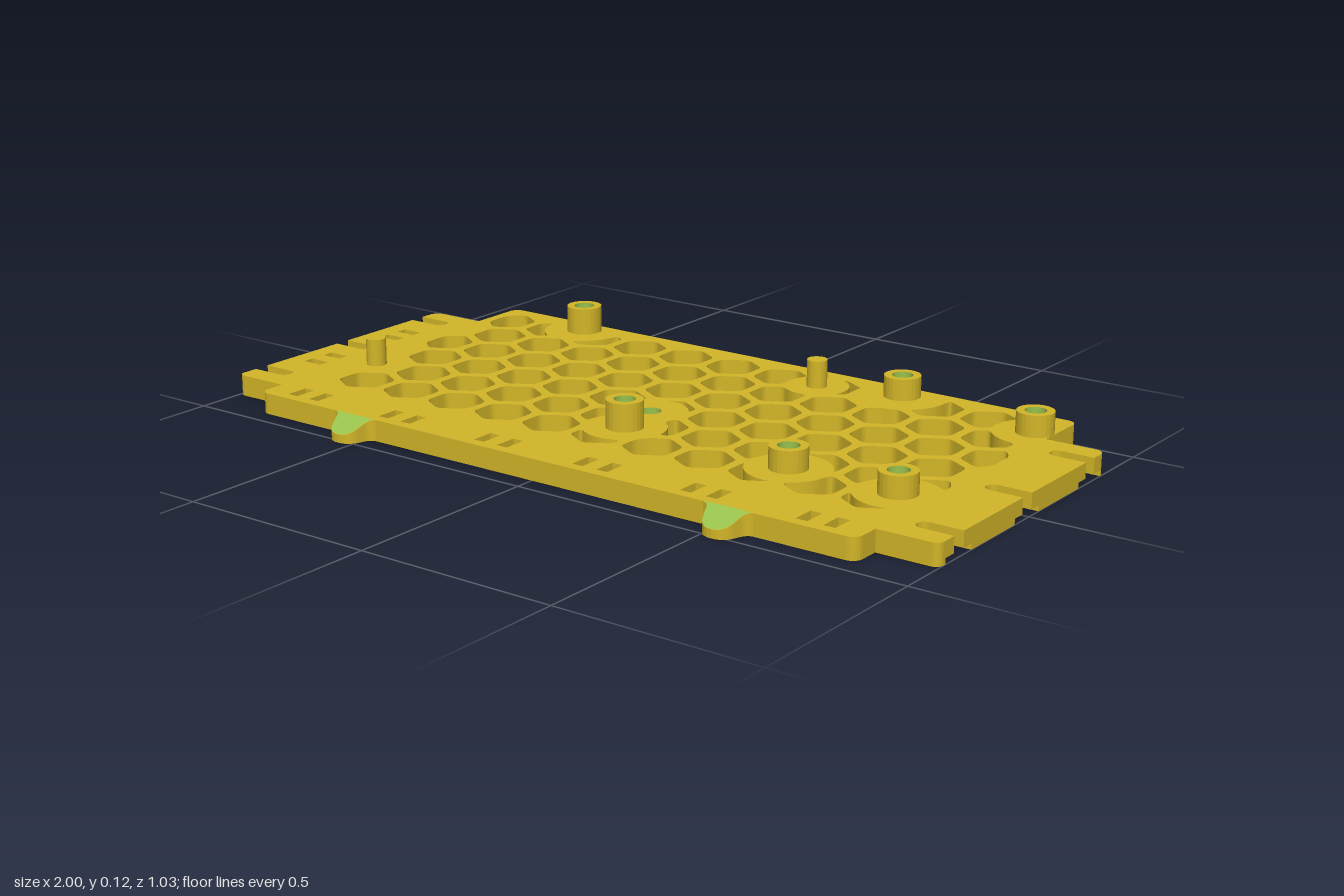
import * as THREE from 'three';

const gold = new THREE.MeshStandardMaterial({ name: 'gold', color: 0xd3b628 });
const green = new THREE.MeshStandardMaterial({ name: 'green', color: 0x98c24d, side: THREE.DoubleSide });

const T = 0.052; // plate thickness
const RECESS = 0.014; // depth of the pockets under the edge slots
const BORE = 0.026;

// Hollow posts: x, z, top height, radius left uncut by the honeycomb
const hollowPosts = [
  [-0.567, -0.456, 0.12, 0.105], [0.026, 0.144, 0.12, 0.1], [0.413, -0.449, 0.105, 0.115],
  [0.805, -0.386, 0.105, 0.1], [0.493, 0.164, 0.105, 0.1], [0.773, 0.164, 0.105, 0.1],
];
const solidPosts = [[0.203, -0.396], [-0.791, 0.104]];
const centreHole = [0, 0.01];

// Solid discs: x, z, radius
const keepouts = [
  ...hollowPosts.map(([x, z, , r]) => [x, z, r]),
  ...solidPosts.map(([x, z]) => [x, z, 0.08]),
  [...centreHole, 0.09],
];

// Plan shapes use (x, -z), so extrusions stand up along y
const V = (x, z) => new THREE.Vector2(x, -z);

function extrude(shape, y0, y1) {
  const g = new THREE.ExtrudeGeometry(shape, { depth: y1 - y0, bevelEnabled: false, curveSegments: 12 });
  g.rotateX(-Math.PI / 2);
  g.translate(0, y0, 0);
  return g;
}

function add(parent, name, geometry, material) {
  const m = new THREE.Mesh(geometry, material);
  m.name = name;
  parent.add(m);
  return m;
}

// Closed outline from [x, z, cornerRadius]
function roundedOutline(pts) {
  const out = [];
  pts.forEach(([x, z, r], i) => {
    const c = V(x, z);
    if (!r) { out.push(c); return; }
    const p = pts[(i + pts.length - 1) % pts.length], n = pts[(i + 1) % pts.length];
    const u = V(p[0], p[1]).sub(c).normalize(), v = V(n[0], n[1]).sub(c).normalize();
    for (let k = 0; k <= 5; k++) {
      const a = (k / 5) * Math.PI / 2;
      out.push(c.clone().addScaledVector(u, r * (1 - Math.sin(a))).addScaledVector(v, r * (1 - Math.cos(a))));
    }
  });
  return out;
}

// Counter-clockwise plate outline with three open slots in each end
function plateOutline(halfSlot, slotEnd, slotRadius) {
  const right = [[0.85, -0.513, 0.025], [0.85, -0.356, 0], [1, -0.356, 0.025]];
  for (const z of [-0.28, 0.01, 0.3]) {
    right.push([1, z - halfSlot, 0], [slotEnd, z - halfSlot, slotRadius],
      [slotEnd, z + halfSlot, slotRadius], [1, z + halfSlot, 0]);
  }
  right.push([1, 0.379, 0.018], [0.85, 0.379, 0], [0.85, 0.452, 0.025]);
  const left = right.map(([x, z, r]) => [-x, z, r]).reverse();
  return roundedOutline([...right, ...left]).reverse();
}

function densify(poly) {
  const out = [];
  poly.forEach((p, i) => {
    const q = poly[(i + 1) % poly.length];
    const n = Math.max(1, Math.ceil(p.distanceTo(q) / 0.006));
    for (let k = 0; k < n; k++) out.push(p.clone().lerp(q, k / n));
  });
  return out;
}

// Rounds the corners of an opening by averaging neighbours
function soften(poly) {
  let pts = densify(poly);
  for (let pass = 0; pass < 5; pass++) {
    pts = pts.map((p, i) => {
      const mid = pts[(i + 1) % pts.length].clone().add(pts[(i + pts.length - 1) % pts.length]);
      return mid.multiplyScalar(0.25).addScaledVector(p, 0.5);
    });
  }
  return pts;
}

// Cuts a disc out of a polygon and returns the remaining pieces
function subtractDisc(poly, [cx, cz, r]) {
  const c = V(cx, cz), pts = densify(poly);
  const outside = pts.map((p) => p.distanceTo(c) > r);
  if (outside.every(Boolean)) return [poly];
  const start = outside.indexOf(false), pieces = [];
  let run = [];
  for (let k = 1; k <= pts.length; k++) {
    const i = (start + k) % pts.length;
    if (outside[i]) { run.push(pts[i]); continue; }
    if (run.length > 2) {
      const angle = (p) => Math.atan2(p.y - c.y, p.x - c.x);
      const a = angle(run[run.length - 1]);
      let d = angle(run[0]) - a;
      d = Math.atan2(Math.sin(d), Math.cos(d));
      for (let s = 1; s < 8; s++) {
        const t = a + (d * s) / 8;
        run.push(new THREE.Vector2(c.x + r * Math.cos(t), c.y + r * Math.sin(t)));
      }
      pieces.push(run);
    }
    run = [];
  }
  return pieces.filter((p) => Math.abs(THREE.ShapeUtils.area(p)) > 0.0006);
}

function honeycombHoles() {
  const holes = [], pitch = 0.146, radius = 0.071;
  for (let row = 0; row < 6; row++) {
    const z = -0.408 + row * pitch * Math.sqrt(3) / 2;
    const count = row % 2 ? 11 : 12;
    for (let k = 0; k < count; k++) {
      const x = -0.785 + k * pitch + (row % 2 ? pitch / 2 : 0);
      const hex = [];
      for (let i = 0; i < 6; i++) {
        const a = (i + 0.5) * Math.PI / 3;
        const px = THREE.MathUtils.clamp(x + radius * Math.cos(a), -0.824, 0.845);
        hex.push(V(px, z + radius * Math.sin(a)));
      }
      let pieces = [hex];
      for (const disc of keepouts) pieces = pieces.flatMap((p) => subtractDisc(p, disc));
      holes.push(...pieces.map(soften));
    }
  }
  return holes;
}

function rectHole(x, z, w, d) {
  return [V(x - w / 2, z - d / 2), V(x + w / 2, z - d / 2), V(x + w / 2, z + d / 2), V(x - w / 2, z + d / 2)];
}

function circlePath(x, z, r, Type = THREE.Path) {
  const p = new Type();
  p.absarc(x, -z, r, 0, Math.PI * 2, false);
  return p;
}

export function createModel() {
  const model = new THREE.Group();
  model.name = 'mountingPlate';

  // Openings shared by both layers of the plate
  const cutouts = honeycombHoles();
  for (const x of [0.143, 0.437, 0.733]) {
    for (const side of [-1, 1]) {
      for (const o of [-0.034, 0.034]) cutouts.push(rectHole(side * x + o, 0.396, 0.029, 0.058));
    }
  }
  for (const z of [-0.163, -0.099, 0.114, 0.183]) cutouts.push(rectHole(-0.925, z, 0.054, 0.028));
  const bores = [...hollowPosts, [...centreHole, T]];

  // Plate: lower layer has wider, squarer pockets around the edge slots
  const layers = [['plateBottom', 0.053, 0.87, 0.012, 0, RECESS], ['plateTop', 0.02, 0.9, 0.019, RECESS, T]];
  for (const [name, halfSlot, slotEnd, slotRadius, y0, y1] of layers) {
    const shape = new THREE.Shape(plateOutline(halfSlot, slotEnd, slotRadius));
    cutouts.forEach((c) => shape.holes.push(new THREE.Path(c)));
    bores.forEach(([x, z]) => shape.holes.push(circlePath(x, z, BORE)));
    add(model, name, extrude(shape, y0, y1), gold);
  }

  // Hollow posts
  for (const [x, z, h] of hollowPosts) {
    const ring = circlePath(x, z, 0.045, THREE.Shape);
    ring.holes.push(circlePath(x, z, BORE));
    add(model, 'hollowPost', extrude(ring, T, h), gold);
  }

  // Coloured bore linings
  for (const [x, z, h] of bores) {
    const lining = new THREE.CylinderGeometry(BORE - 0.001, BORE - 0.001, h, 24, 1, true);
    add(model, 'boreLining', lining, green).position.set(x, h / 2, z);
  }

  // Solid locating pins
  for (const [x, z] of solidPosts) {
    const pin = new THREE.CylinderGeometry(0.025, 0.025, 0.12 - T, 24);
    add(model, 'locatingPin', pin, gold).position.set(x, (0.12 + T) / 2, z);
  }

  // Front tabs with a sloping coloured top
  for (const x of [-0.535, 0.533]) {
    const s = new THREE.Shape();
    s.moveTo(x - 0.064, -0.452);
    s.bezierCurveTo(x - 0.03, -0.455, x - 0.055, -0.513, x, -0.513);
    s.bezierCurveTo(x + 0.055, -0.513, x + 0.03, -0.455, x + 0.064, -0.452);
    const slope = (z) => T - (z - 0.452) * 0.52;
    const body = extrude(s, 0, T);
    const p = body.attributes.position;
    for (let i = 0; i < p.count; i++) if (p.getY(i) > T / 2) p.setY(i, slope(p.getZ(i)));
    body.computeVertexNormals();
    add(model, 'frontTab', body, gold);

    const face = new THREE.ShapeGeometry(s, 12);
    face.rotateX(-Math.PI / 2);
    const q = face.attributes.position;
    for (let i = 0; i < q.count; i++) q.setY(i, slope(q.getZ(i)) + 0.001);
    face.computeVertexNormals();
    add(model, 'tabSlope', face, green);
  }
  return model;
}
